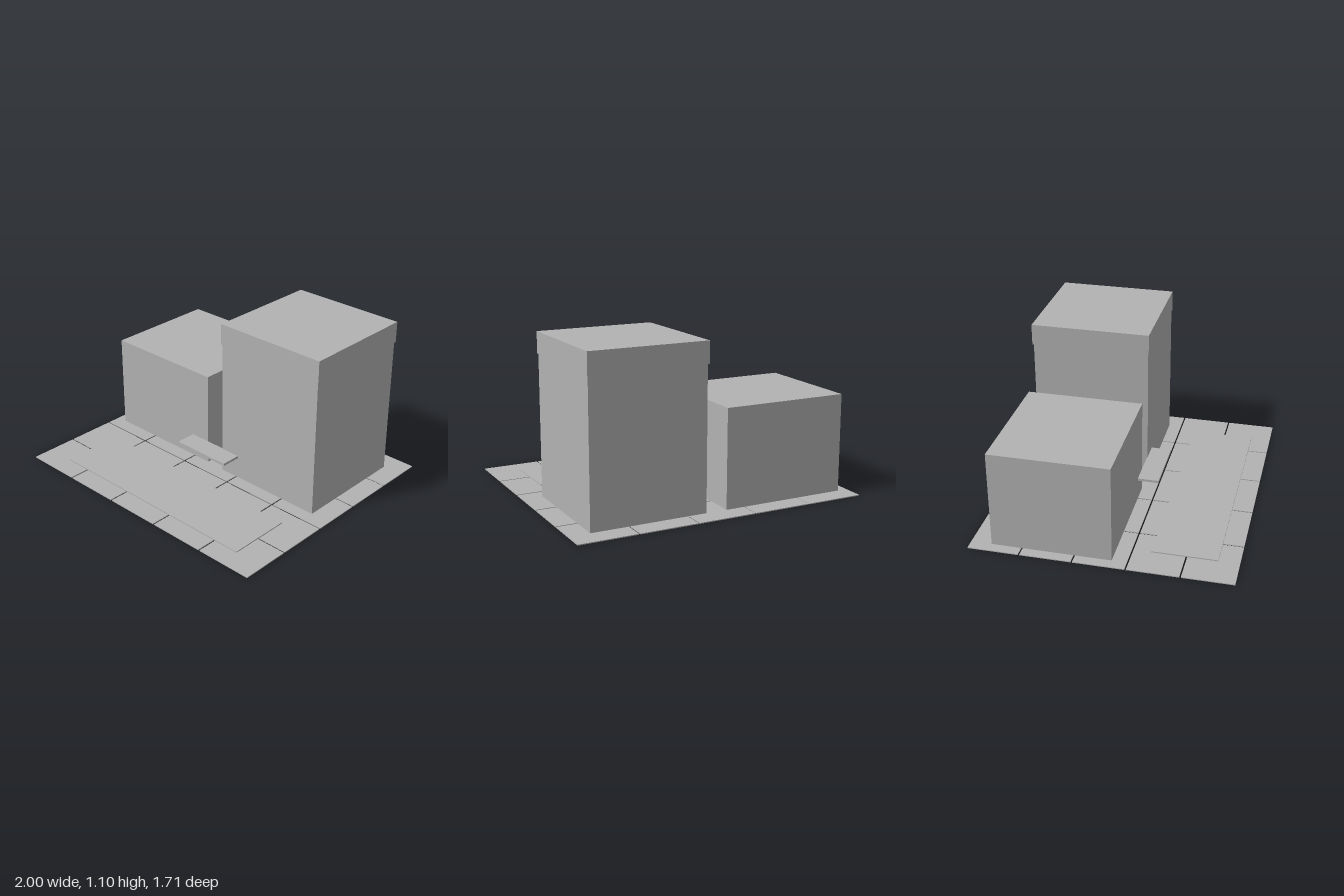
import * as THREE from 'three';

export function createModel() {
  const model = new THREE.Group();
  model.name = 'buildingBlock';
  const grey = new THREE.MeshStandardMaterial({ color: 0xb2b2b2 });
  grey.name = 'concrete grey';

  // Box given by its minimum and maximum on each axis
  function box(name, [x0, x1], [y0, y1], [z0, z1], parent = model) {
    const mesh = new THREE.Mesh(new THREE.BoxGeometry(x1 - x0, y1 - y0, z1 - z0), grey);
    mesh.position.set((x0 + x1) / 2, (y0 + y1) / 2, (z0 + z1) / 2);
    mesh.name = name;
    parent.add(mesh);
  }

  // Paved ground: five by five thin tiles with narrow joints
  const paving = new THREE.Group();
  paving.name = 'paving';
  model.add(paving);
  const n = 5, joint = 0.01, halfX = 1, halfZ = 0.853, ground = 0.006;
  const tileX = (2 * halfX - (n - 1) * joint) / n;
  const tileZ = (2 * halfZ - (n - 1) * joint) / n;
  for (let i = 0; i < n; i++) {
    for (let j = 0; j < n; j++) {
      const x = -halfX + i * (tileX + joint);
      const z = -halfZ + j * (tileZ + joint);
      box('pavingTile', [x, x + tileX], [0, ground], [z, z + tileZ], paving);
    }
  }

  // Raised forecourt strip
  box('forecourt', [-0.79, 0.79], [ground, 0.013], [0.29, 0.717]);

  // Low building
  box('lowBuilding', [-0.93, -0.07], [ground, 0.665], [-0.716, 0.07]);

  // Tall building with an overhanging parapet
  box('tallBuilding', [0.073, 0.861], [ground, 0.955], [-0.713, 0.077]);
  box('parapet', [0.065, 0.867], [0.955, 1.098], [-0.721, 0.082]);

  // Entrance canopy bridging the two fronts
  box('entranceCanopy', [-0.214, 0.214], [0.155, 0.172], [0.073, 0.216]);

  return model;
}
